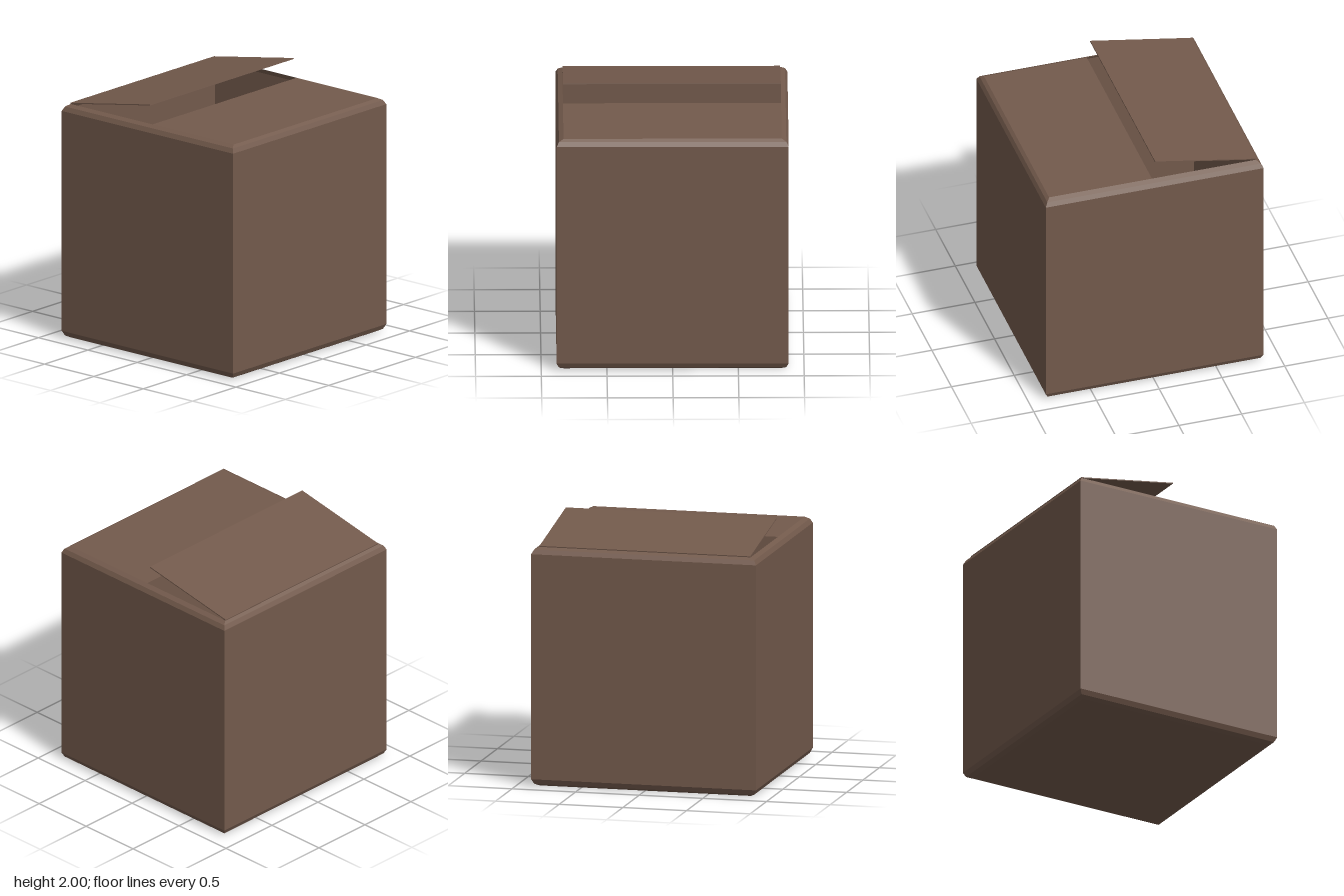
import * as THREE from 'three';

// Cross-sections of the carton, bottom to top: [half width, half depth, height]
const SECTIONS = [
  [0.83, 0.815, 0],
  [0.865, 0.85, 0.018],
  [0.883, 0.868, 0.055],
  [0.883, 0.868, 1.8],
  [0.865, 0.85, 1.834],
  [0.83, 0.825, 1.852],
];
const TOP = 1.852;

const ring = ([w, d, y]) => [[-w, y, d], [w, y, d], [w, y, -d], [-w, y, -d]];

// Flat-shaded surface from four-cornered faces
function quads(list) {
  const pos = [];
  for (const [a, b, c, d] of list) pos.push(...a, ...b, ...c, ...a, ...c, ...d);
  const geo = new THREE.BufferGeometry();
  geo.setAttribute('position', new THREE.Float32BufferAttribute(pos, 3));
  geo.computeVertexNormals();
  return geo;
}

export function createModel() {
  const model = new THREE.Group();
  model.name = 'openBox';
  const cardboard = new THREE.MeshStandardMaterial({ color: 0x735a4c, side: THREE.DoubleSide });
  cardboard.name = 'brown cardboard';

  const add = (name, geo, parent = model) => {
    const mesh = new THREE.Mesh(geo, cardboard);
    mesh.name = name;
    parent.add(mesh);
    return mesh;
  };

  // Walls with rounded-over top and bottom edges, mitred at the corners
  const faces = [];
  for (let i = 0; i < SECTIONS.length - 1; i++) {
    const lo = ring(SECTIONS[i]), hi = ring(SECTIONS[i + 1]);
    for (let k = 0; k < 4; k++) {
      const n = (k + 1) % 4;
      faces.push([lo[k], lo[n], hi[n], hi[k]]);
    }
  }
  add('walls', quads(faces));

  // Floor
  add('floor', quads([ring(SECTIONS[0]).reverse()]));

  // Closed front half of the lid
  const [w, d] = SECTIONS[SECTIONS.length - 1];
  add('closedFlap', quads([[[-w, TOP, d], [w, TOP, d], [w, TOP, 0.005], [-w, TOP, 0.005]]]));

  // Raised back half of the lid, hinged on the back edge
  const hinge = new THREE.Group();
  hinge.name = 'flapHinge';
  hinge.position.set(0, TOP, -0.828);
  hinge.rotation.x = -0.177;
  model.add(hinge);
  add('openFlap', new THREE.BoxGeometry(1.656, 0.008, 0.82), hinge).position.set(0, 0.004, 0.41);

  return model;
}
